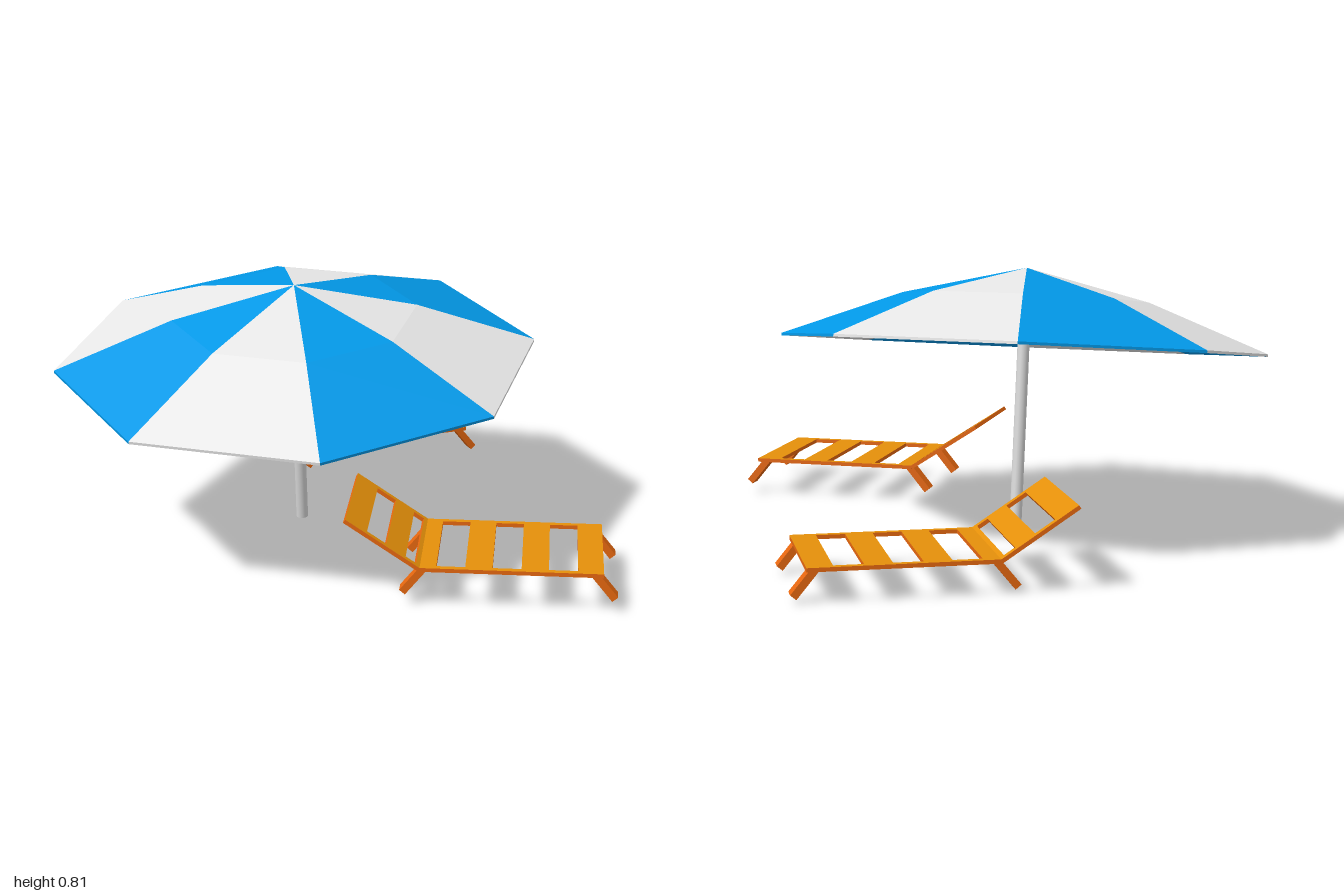
import * as THREE from 'three';

const mat = (name, color) => {
  const m = new THREE.MeshStandardMaterial({ color });
  m.name = name;
  return m;
};

function add(parent, name, geometry, material) {
  const mesh = new THREE.Mesh(geometry, material);
  mesh.name = name;
  parent.add(mesh);
  return mesh;
}

// Slatted panel lying flat along +x, with one opening per [start, end] pair
function slattedPanel(length, width, openings, thickness) {
  const rect = (path, x0, x1, w) => {
    path.moveTo(x0, -w);
    path.lineTo(x1, -w);
    path.lineTo(x1, w);
    path.lineTo(x0, w);
    path.closePath();
    return path;
  };
  const shape = rect(new THREE.Shape(), 0, length, width / 2);
  for (const [a, b] of openings) shape.holes.push(rect(new THREE.Path(), a, b, width / 2 - 0.02));
  const geo = new THREE.ExtrudeGeometry(shape, { depth: thickness, bevelEnabled: false });
  geo.translate(0, 0, -thickness / 2);
  geo.rotateX(-Math.PI / 2);
  return geo;
}

export function createModel() {
  const model = new THREE.Group();
  model.name = 'beachSet';

  const blue = mat('canopyBlue', 0x029aea);
  const white = mat('canopyWhite', 0xebebeb);
  const metal = mat('poleGrey', 0xd8d8d8);
  const wood = mat('slatWood', 0xe5900a);
  const darkWood = mat('frameWood', 0xec6a10);

  // Tilted umbrella, built upright from the foot of its pole
  const umbrella = new THREE.Group();
  umbrella.name = 'umbrella';
  umbrella.position.set(-0.085, 0.003, -0.18);
  umbrella.quaternion.setFromUnitVectors(
    new THREE.Vector3(0, 1, 0),
    new THREE.Vector3(-0.092, 1, 0.113).normalize()
  );
  model.add(umbrella);

  const apex = 0.817;
  const poleLength = apex - 0.01;
  const pole = add(umbrella, 'pole', new THREE.CylinderGeometry(0.019, 0.019, poleLength, 16), metal);
  pole.position.y = poleLength / 2;

  // Eight canopy wedges: shallow underside, thin hem, top bent halfway
  const profile = [[0.001, -0.1], [0.765, -0.246], [0.765, -0.238], [0.388, -0.093], [0.001, 0]]
    .map(([r, y]) => new THREE.Vector2(r, apex + y));
  for (let k = 0; k < 8; k++) {
    const start = THREE.MathUtils.degToRad(66 + 45 * k);
    const panel = new THREE.LatheGeometry(profile, 1, start, Math.PI / 4).toNonIndexed();
    panel.computeVertexNormals();
    add(umbrella, 'canopyPanel' + (k + 1), panel, k % 2 ? white : blue);
  }

  // Lounger: hinge at the origin, foot end towards +x
  function lounger(name, x, y, z, angle) {
    const g = new THREE.Group();
    g.name = name;
    g.position.set(x, y, z);
    g.rotation.y = angle;
    model.add(g);

    const width = 0.418;
    const seatHoles = [0.05, 0.215, 0.38].map(start => [start, start + 0.085]);
    add(g, 'seat', slattedPanel(0.54, width, seatHoles, 0.012), [wood, darkWood]);

    // Reclined back, turned to point away from the foot end
    const backHoles = [[0.015, 0.052], [0.12, 0.188]];
    const back = add(g, 'backrest', slattedPanel(0.263, width, backHoles, 0.012), [wood, darkWood]);
    back.rotation.set(0, Math.PI, THREE.MathUtils.degToRad(33.2), 'YXZ');

    // Splayed legs
    const drop = 0.076;
    for (const [legName, top, foot] of [['footLeg', 0.513, 0.575], ['hingeLeg', 0.012, -0.05]]) {
      for (const side of [-1, 1]) {
        const length = Math.hypot(foot - top, drop);
        const leg = add(g, legName, new THREE.BoxGeometry(0.022, length, 0.045), darkWood);
        leg.position.set((top + foot) / 2, -drop / 2 - 0.002, side * 0.172);
        leg.rotation.z = Math.atan2(foot - top, drop);
      }
    }
  }
  lounger('frontLounger', -0.04, 0.116, 0.494, -0.623);
  lounger('rearLounger', 0.236, 0.095, -0.747, -0.176);

  return model;
}
